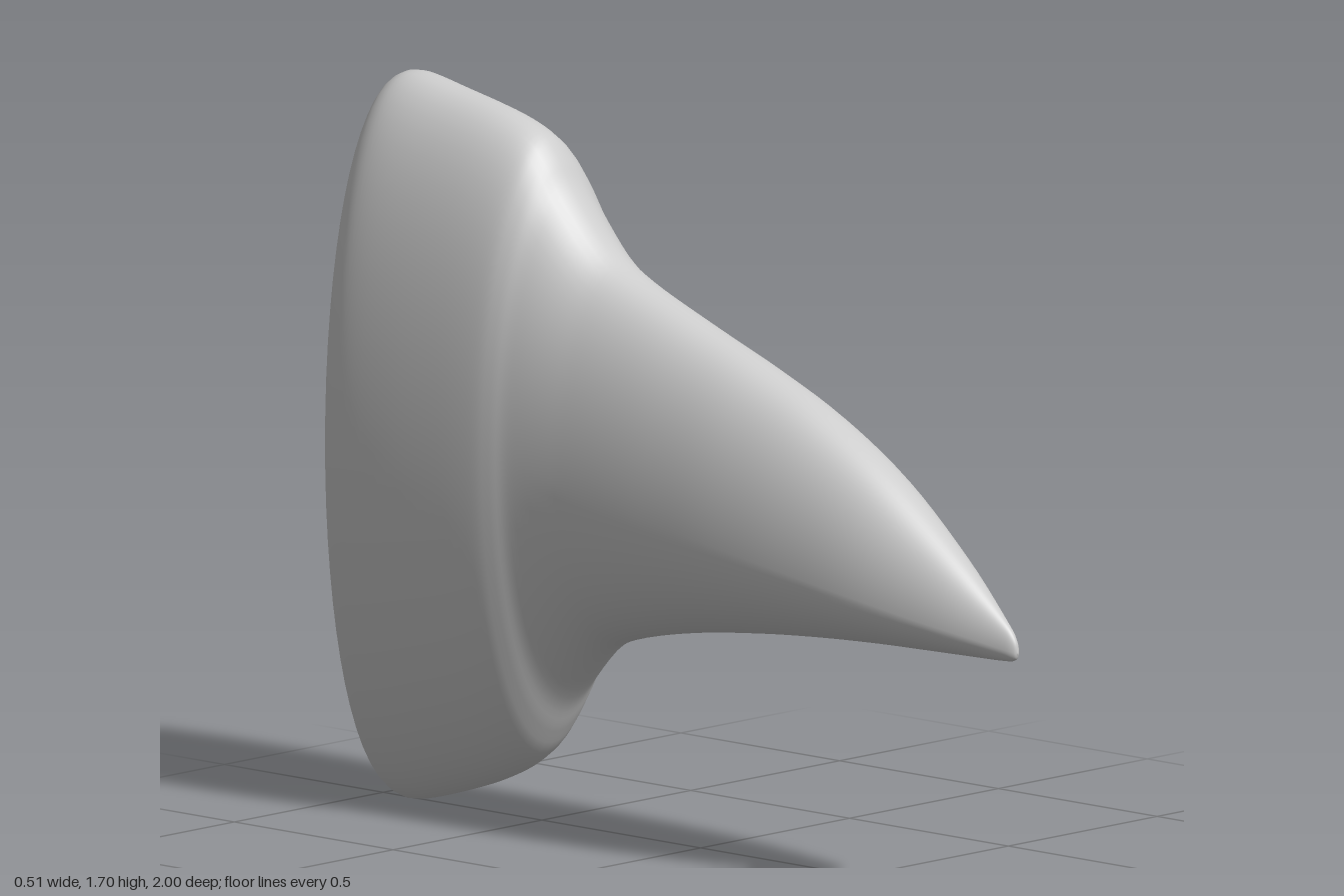
import * as THREE from 'three';

// Cross-sections from tip to back: z, top y, bottom y, half width, height of widest point (0..1)
const SECTIONS = [
  [1.0, 0.585, 0.585, 0.0, 0.4],
  [0.99, 0.62, 0.568, 0.012, 0.4],
  [0.95, 0.665, 0.563, 0.03, 0.36],
  [0.8, 0.8, 0.561, 0.088, 0.32],
  [0.6, 0.955, 0.557, 0.142, 0.32],
  [0.4, 1.07, 0.547, 0.172, 0.34],
  [0.2, 1.155, 0.53, 0.189, 0.37],
  [0.0, 1.23, 0.505, 0.197, 0.4],
  [-0.2, 1.31, 0.462, 0.204, 0.44],
  [-0.3, 1.373, 0.41, 0.21, 0.47],
  [-0.4, 1.485, 0.3, 0.221, 0.5],
  [-0.45, 1.56, 0.215, 0.233, 0.5],
  [-0.5, 1.61, 0.148, 0.242, 0.5],
  [-0.6, 1.648, 0.088, 0.25, 0.5],
  [-0.75, 1.68, 0.035, 0.256, 0.5],
  [-0.88, 1.704, 0.002, 0.255, 0.5],
  [-0.94, 1.692, 0.014, 0.245, 0.5],
  [-0.975, 1.65, 0.055, 0.222, 0.5],
  [-0.992, 1.59, 0.115, 0.19, 0.5],
  [-1.0, 1.5, 0.205, 0.15, 0.5],
  [-1.0, 1.2, 0.5, 0.08, 0.5],
  [-1.0, 0.853, 0.853, 0.0, 0.5],
];

function loft(sections, rows, sides) {
  const spline = (pick) => new THREE.CatmullRomCurve3(sections.map(pick), false, 'catmullrom', 0.5);
  const profile = spline((s) => new THREE.Vector3(s[0], s[1], s[2]));
  const girth = spline((s) => new THREE.Vector3(s[3], s[4], 0));
  const pos = [];
  const index = [];
  for (let i = 0; i <= rows; i++) {
    const { x: z, y: top, z: bottom } = profile.getPoint(i / rows);
    const { x: w, y: f } = girth.getPoint(i / rows);
    const mid = bottom + f * (top - bottom);
    for (let j = 0; j < sides; j++) {
      const a = (j / sides) * Math.PI * 2;
      const s = Math.sin(a);
      pos.push(Math.max(w, 0) * Math.cos(a), mid + s * (s > 0 ? top - mid : mid - bottom), Math.max(z, -1));
      if (i === rows) continue;
      const p = i * sides + j;
      const q = i * sides + ((j + 1) % sides);
      // the first and last rings are single points
      if (i > 0) index.push(p, p + sides, q);
      if (i < rows - 1) index.push(q, p + sides, q + sides);
      else if (i === 0) index.push(p, p + sides, q);
    }
  }
  const geo = new THREE.BufferGeometry();
  geo.setAttribute('position', new THREE.Float32BufferAttribute(pos, 3));
  geo.setIndex(index);
  geo.computeVertexNormals();
  return geo;
}

export function createModel() {
  const group = new THREE.Group();
  group.name = 'beak';
  // Pointed beak flaring into an oval mounting base
  const beak = new THREE.Mesh(
    loft(SECTIONS, (SECTIONS.length - 1) * 5, 64),
    new THREE.MeshStandardMaterial({ color: 0xcccccc })
  );
  beak.name = 'beakAndBase';
  group.add(beak);
  return group;
}
